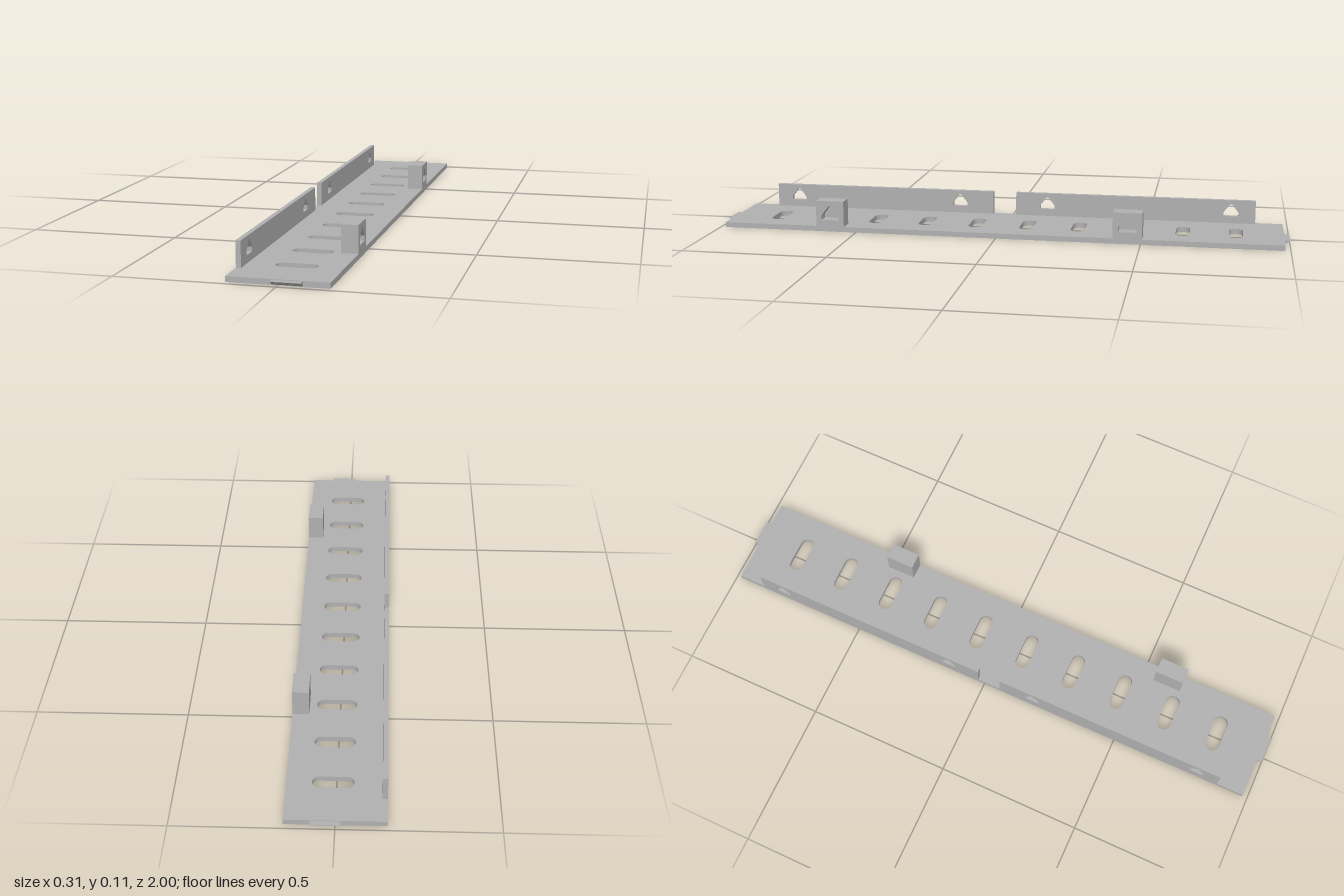
import * as THREE from 'three';

const polygon = (Type, points) => new Type(points.map(([x, y]) => new THREE.Vector2(x, y)));

// House-shaped opening centred on u, with its sill at v
function houseHole(u, v, width, height) {
  const w = width / 2;
  return polygon(THREE.Path, [
    [u - w, v], [u + w, v], [u + w, v + height * 0.33],
    [u + w * 0.15, v + height], [u - w * 0.15, v + height], [u - w, v + height * 0.33],
  ]);
}

// Plate in the z-y plane, extruded from x0 to x1
function sidePlate(x0, x1, z0, z1, y0, y1, holes = []) {
  const shape = polygon(THREE.Shape, [[-z1, y0], [-z0, y0], [-z0, y1], [-z1, y1]]);
  shape.holes.push(...holes);
  const geo = new THREE.ExtrudeGeometry(shape, { depth: x1 - x0, bevelEnabled: false });
  return geo.rotateY(Math.PI / 2).translate(x0, 0, 0);
}

export function createModel() {
  const model = new THREE.Group();
  model.name = 'slottedTray';
  const grey = new THREE.MeshStandardMaterial({ name: 'grey', color: 0xb0b0b0 });
  const add = (name, geo, parent = model) => {
    const mesh = new THREE.Mesh(geo, grey);
    mesh.name = name;
    parent.add(mesh);
    return mesh;
  };

  const left = -0.157, right = 0.156, thick = 0.018, end = 0.982;

  // Base plate with a row of ten rounded slots
  const base = polygon(THREE.Shape, [[left, -end], [right, -end], [right, end], [left, end]]);
  const r = 0.024;
  for (let i = 0; i < 10; i++) {
    const z = (i - 4.5) * 0.182;
    const slot = new THREE.Path();
    slot.absarc(0.077 - r, z, r, -Math.PI / 2, Math.PI / 2, false);
    slot.absarc(-0.055 + r, z, r, Math.PI / 2, Math.PI * 1.5, false);
    slot.closePath();
    base.holes.push(slot);
  }
  add('basePlate', new THREE.ExtrudeGeometry(base, { depth: thick, bevelEnabled: false, curveSegments: 16 })
    .rotateX(-Math.PI / 2));

  // Side wall in two lengths, each with two openings
  const walls = [
    { z0: 0.06, z1: 0.886, holes: [0.805, 0.185] },
    { z0: -0.886, z1: -0.024, holes: [-0.14, -0.8] },
  ];
  for (const { z0, z1, holes } of walls) {
    add('sideWall', sidePlate(left, -0.141, z0, z1, thick, 0.101,
      holes.map((z) => houseHole(-z, 0.043, 0.052, 0.043))));
  }

  // Blocks on the opposite edge, each with a blind pocket facing outward
  for (const z of [0.593, -0.455]) {
    const block = new THREE.Group();
    block.name = 'pocketBlock';
    model.add(block);
    const z0 = z - 0.05, z1 = z + 0.05;
    add('blockBack', sidePlate(0.101, 0.113, z0, z1, thick, 0.109), block);
    add('blockPocket', sidePlate(0.113, right, z0, z1, thick, 0.109,
      [houseHole(-z, 0.041, 0.062, 0.049)]), block);
  }

  // Wedge-shaped end tabs, sloping in underneath
  const wedge = polygon(THREE.Shape, [[0, 0.002], [0.018, 0.014], [0.018, 0.016], [0, 0.016]]);
  for (const side of [1, -1]) {
    const geo = new THREE.ExtrudeGeometry(wedge, { depth: 0.092, bevelEnabled: false })
      .rotateY(-Math.PI / 2).translate(0.046, 0, end);
    if (side < 0) geo.rotateY(Math.PI);
    const tab = add(side > 0 ? 'frontTab' : 'backTab', geo);
    tab.position.x = 0.029;
  }
  return model;
}
